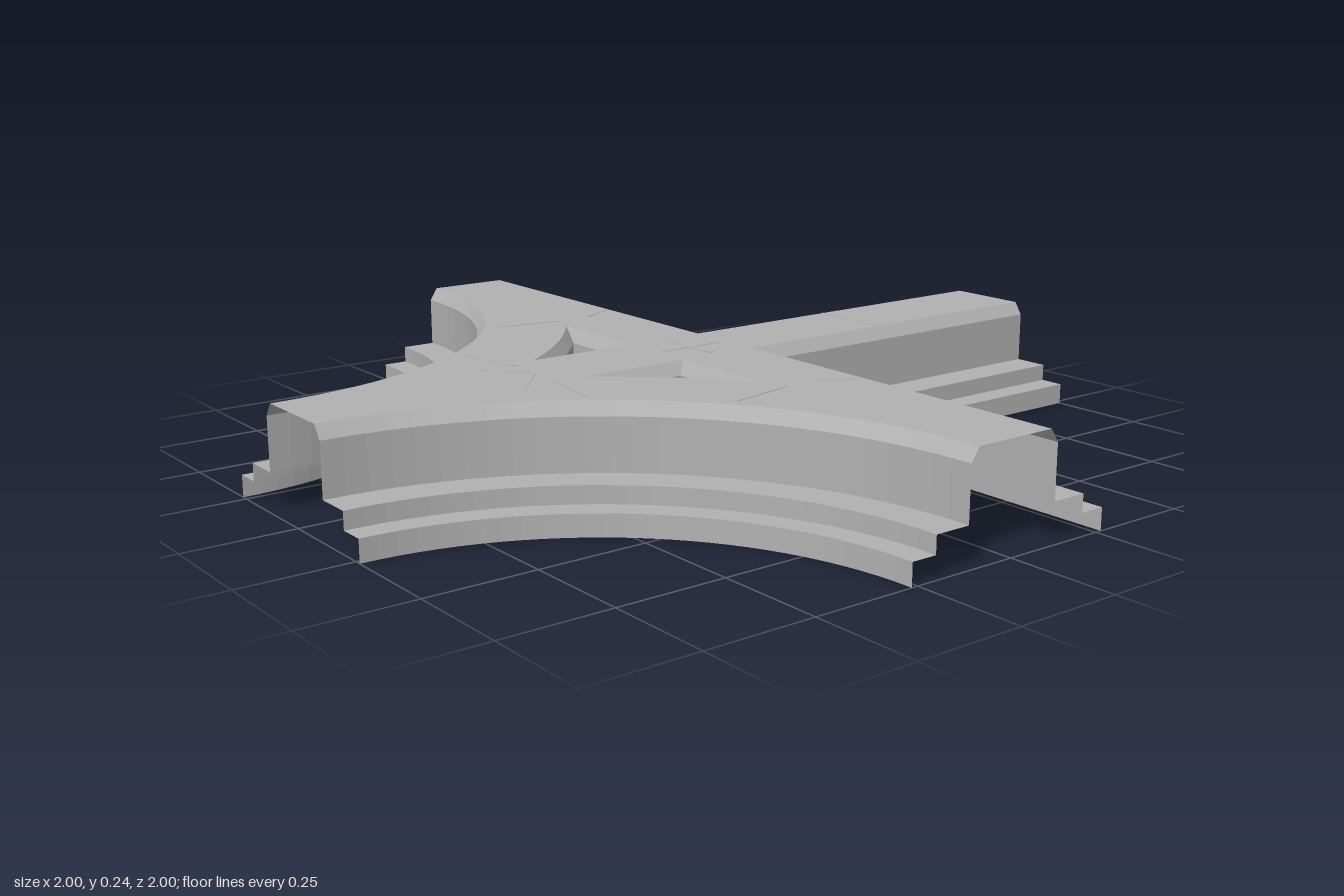
import * as THREE from 'three';

const TOP = 0.24;
// [distance from arm centre line, height]
const WALL = [[0.1, TOP], [0.12, 0.21], [0.12, 0.09], [0.205, 0.09], [0.205, 0.05], [0.265, 0.05], [0.265, 0]];
const CHUTE = [[0, TOP], [0.02, 0.21], [0.02, 0.09]];
const SEG = 28;

// Plan paths [x, z] for the +z half, as functions of the profile offset
const cornerPath = d => [[1, d], [d, d], [d, 1]];

const arcPoints = (r, a0, a1, n) => Array.from({ length: n + 1 }, (_, i) => {
  const a = a0 + (a1 - a0) * i / n;
  return [-1 + r * Math.cos(a), 1 + r * Math.sin(a)];
});

const curvePath = d => arcPoints(1 - d, 0, -Math.PI / 2, SEG);

function holePath(e) {
  const r = 1.1 + e, q = 0.9 - e;
  const corner = [-1 + q, 1 - q];
  const tip = Math.asin(q / r);
  return [corner, ...arcPoints(r, -tip, -(Math.PI / 2 - tip), 10), corner];
}

// Sweep a profile along a path; side = -1 mirrors it to the back half
function sweep(path, profile, side) {
  const rows = profile.map(([d, y]) => path(d).map(([x, z]) => [x, y, z * side]));
  const pos = [];
  for (let j = 0; j < rows.length - 1; j++) {
    for (let i = 0; i < rows[j].length - 1; i++) {
      const a = rows[j][i], b = rows[j][i + 1], c = rows[j + 1][i + 1], d = rows[j + 1][i];
      const quad = side > 0 ? [a, b, c, a, c, d] : [a, c, b, a, d, c];
      quad.forEach(p => pos.push(...p));
    }
  }
  const g = new THREE.BufferGeometry();
  g.setAttribute('position', new THREE.Float32BufferAttribute(pos, 3));
  g.computeVertexNormals();
  return g;
}

const toVectors = (pts, side) => pts.map(([x, z]) => new THREE.Vector2(x, -z * side));

export function createModel() {
  const group = new THREE.Group();
  const grey = new THREE.MeshStandardMaterial({ color: 0xb2b2b2, side: THREE.DoubleSide });
  grey.name = 'plain grey';
  const add = (geometry, name) => {
    const mesh = new THREE.Mesh(geometry, grey);
    mesh.name = name;
    group.add(mesh);
    return mesh;
  };

  // Flat top deck with two curved triangular openings
  const e = WALL[0][0];
  const outline = [
    ...toVectors(cornerPath(e), 1),
    ...toVectors(curvePath(e), 1),
    ...toVectors(curvePath(e), -1).reverse(),
    ...toVectors(cornerPath(e), -1).reverse(),
  ];
  const deck = new THREE.Shape(outline);
  for (const side of [1, -1]) {
    deck.holes.push(new THREE.Path(toVectors(holePath(0).slice(0, -1), side)));
  }
  add(new THREE.ShapeGeometry(deck).rotateX(-Math.PI / 2).translate(0, TOP, 0), 'topDeck');

  // Stepped side walls and opening walls, mirrored front to back
  for (const side of [1, -1]) {
    const end = side > 0 ? 'front' : 'back';
    add(sweep(cornerPath, WALL, side), end + 'CornerWall');
    add(sweep(curvePath, WALL, side), end + 'CurvedWall');
    add(sweep(holePath, CHUTE, side), end + 'OpeningWall');
  }

  // Thin seam strip on the deck between two plan points
  const strip = (x0, z0, x1, z1, name, width = 0.012) => {
    const g = new THREE.BoxGeometry(Math.hypot(x1 - x0, z1 - z0), 0.002, width);
    const m = add(g, name);
    m.position.set((x0 + x1) / 2, TOP, (z0 + z1) / 2);
    m.rotation.y = -Math.atan2(z1 - z0, x1 - x0);
  };

  // Cross at the centre and a straight seam on the left arm
  strip(-0.08, 0, 0.08, 0, 'centreCross', 0.018);
  strip(0, -0.08, 0, 0.08, 'centreCross', 0.018);
  strip(0.5, -0.1, 0.5, 0.1, 'armSeam', 0.006);

  // Kinked seams where the curved arms meet the middle
  for (const s of [1, -1]) {
    strip(-0.46, 0.24 * s, -0.43, 0.08 * s, 'curveSeam');
    strip(-0.52, 0.1 * s, -0.44, 0.01 * s, 'curveSeam');
    strip(-0.24, 0.46 * s, -0.08, 0.43 * s, 'curveSeam');
    strip(0, 0.43 * s, 0.09, 0.47 * s, 'curveSeam');
  }
  return group;
}
